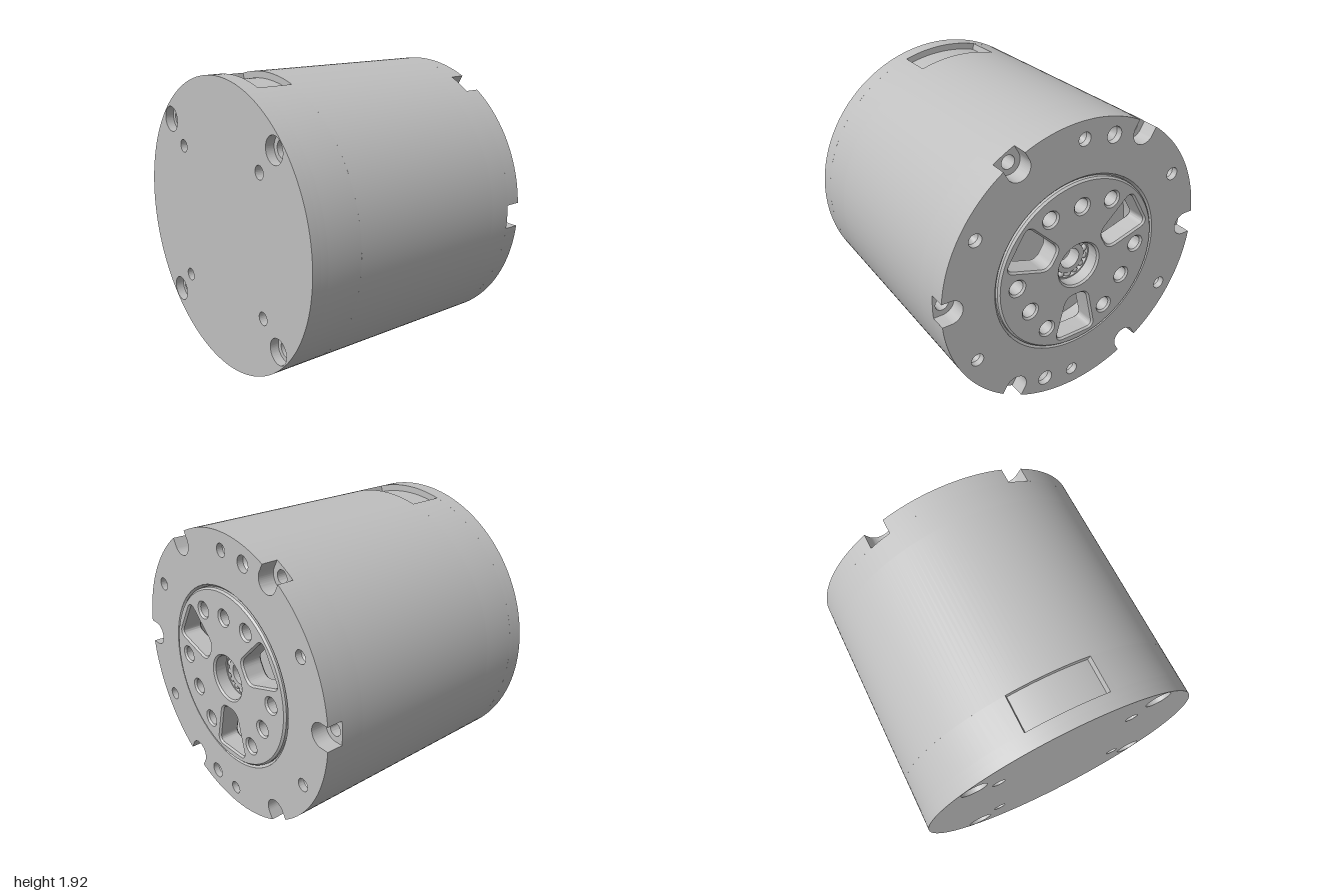
import * as THREE from 'three';
import { toCreasedNormals } from 'three/addons/utils/BufferGeometryUtils.js';

const R = 0.961, HALF = 0.858, TILT = 0.0466;
const rad = THREE.MathUtils.degToRad;
const polar = (r, a) => [r * Math.cos(a), r * Math.sin(a)];

const circle = (r, x = 0, y = 0, C = THREE.Path) => {
  const c = new C();
  for (let i = 0; i < 4; i++) c.absarc(x, y, r, i * Math.PI / 2, (i + 1) * Math.PI / 2, false);
  return c;
};
// holes of radius r placed on a ring at the given angles in degrees
const ringHoles = (ringR, degs, r) => degs.map(d => circle(r, ...polar(ringR, rad(d))));

// polygon with softened corners
function roundedPath(pts, radii) {
  const path = new THREE.Path();
  pts.forEach((p, i) => {
    const n = pts.length, prev = pts[(i + n - 1) % n], next = pts[(i + 1) % n];
    const a = p.clone().add(prev.clone().sub(p).setLength(radii[i]));
    const b = p.clone().add(next.clone().sub(p).setLength(radii[i]));
    if (i === 0) path.moveTo(a.x, a.y); else path.lineTo(a.x, a.y);
    path.quadraticCurveTo(p.x, p.y, b.x, b.y);
  });
  path.closePath();
  return path;
}

// rim with six U-shaped bolt notches
function notchedRim() {
  const s = new THREE.Shape(), w = 0.08, h = Math.asin(w / R);
  for (let k = 0; k < 6; k++) {
    const a = k * Math.PI / 3;
    s.absarc(...polar(0.9, a), w, a - Math.PI / 2, a - 1.5 * Math.PI, true);
    s.absarc(0, 0, R, a + h, a + Math.PI / 3 - h, false);
  }
  return s;
}

// rim with two shallow opposite recesses
function recessedRim() {
  const s = new THREE.Shape(), a1 = Math.acos(0.245 / R), a2 = Math.acos(-0.3 / R);
  for (let k = 0; k < 2; k++) {
    const t = k * Math.PI;
    s.absarc(0, 0, R, a2 - Math.PI + t, a1 + t, false);
    s.absarc(0, 0, 0.918, a1 + t, a2 + t, false);
  }
  return s;
}

export function createModel() {
  const metal = new THREE.MeshStandardMaterial({ color: 0xbfbfbf, side: THREE.DoubleSide });
  metal.name = 'grey metal';
  const motor = new THREE.Group();
  motor.name = 'motorHousing';

  const add = (name, geo, z = 0, x = 0, y = 0) => {
    const m = new THREE.Mesh(geo, metal);
    m.name = name;
    m.position.set(x, y, z);
    motor.add(m);
    return m;
  };
  // slab of the housing between two axial positions, with optional chamfer
  const slab = (name, shape, z0, z1, holes = [], bevel = 0) => {
    shape.holes.push(...holes);
    const geo = new THREE.ExtrudeGeometry(shape, {
      depth: z1 - z0 - 2 * bevel, curveSegments: 24, bevelEnabled: bevel > 0,
      bevelThickness: bevel, bevelSize: bevel, bevelOffset: -bevel, bevelSegments: 1,
    });
    add(name, toCreasedNormals(geo, 0.5), z0 + bevel);
  };
  const disc = () => circle(R, 0, 0, THREE.Shape);

  const sixth = [0, 60, 120, 180, 240, 300];
  const quarter = [45, 135, 225, 315];
  const smallPits = [90, 30, 150, 210, 270, 330], largePits = [75, 255];

  // housing, from the output flange to the rear cap
  slab('outputFlange', notchedRim(), 0.753, HALF, [
    circle(0.608), ...ringHoles(0.845, smallPits, 0.043), ...ringHoles(0.847, largePits, 0.053)]);
  slab('boltSeat', disc(), 0.6, 0.753, [circle(0.594), ...ringHoles(0.9, sixth, 0.043)]);
  slab('mainBarrel', disc(), -0.512, 0.6);
  slab('recessedBand', recessedRim(), -0.75, -0.512);
  slab('rearCapInner', disc(), -0.8, -0.75, [
    ...ringHoles(0.868, quarter, 0.055), ...ringHoles(0.645, quarter, 0.043)]);
  slab('rearCap', disc(), -HALF, -0.8, [
    ...ringHoles(0.868, quarter, 0.085), ...ringHoles(0.645, quarter, 0.043)]);

  // conical bottoms of the drilled pits
  const pit = (ringR, deg, r) => {
    const cone = new THREE.ConeGeometry(r, 0.055, 32, 1, true).rotateX(-Math.PI / 2);
    add('drilledPit', cone, 0.79, ...polar(ringR, rad(deg)));
  };
  smallPits.forEach(d => pit(0.845, d, 0.043));
  largePits.forEach(d => pit(0.847, d, 0.053));

  // chamfer around the hub opening
  add('hubOpeningChamfer',
    new THREE.CylinderGeometry(0.608, 0.592, 0.016, 96, 1, true).rotateX(Math.PI / 2), HALF - 0.008);

  // rotating hub with three windows, nine holes and a bearing bore
  const windows = [30, 150, 270].map(d => {
    const pts = [[0.225, -0.075], [0.53, -0.147], [0.53, 0.147], [0.225, 0.075]]
      .map(([x, y]) => new THREE.Vector2(x, y).rotateAround(new THREE.Vector2(), rad(d)));
    return roundedPath(pts, [0.055, 0.05, 0.05, 0.055]);
  });
  slab('outputHub', circle(0.59, 0, 0, THREE.Shape), 0.72, 0.87, [
    circle(0.147), ...windows,
    ...ringHoles(0.457, sixth, 0.048), ...ringHoles(0.415, [90, 210, 330], 0.048)], 0.012);

  // ball bearing in the bore
  const race = (name, inner, outer) =>
    slab(name, circle(outer, 0, 0, THREE.Shape), 0.69, 0.78, [circle(inner)]);
  race('bearingOuterRace', 0.138, 0.147);
  race('bearingInnerRace', 0.07, 0.106);
  for (let i = 0; i < 14; i++) {
    add('bearingBall', new THREE.SphereGeometry(0.025, 16, 12), 0.755,
      ...polar(0.122, (i + 0.5) * Math.PI / 7));
  }

  // lay the axis along x with a slight yaw, resting on the ground
  motor.rotation.y = Math.PI / 2 - TILT;
  motor.position.y = R;
  const model = new THREE.Group();
  model.name = 'actuator';
  model.add(motor);
  return model;
}
